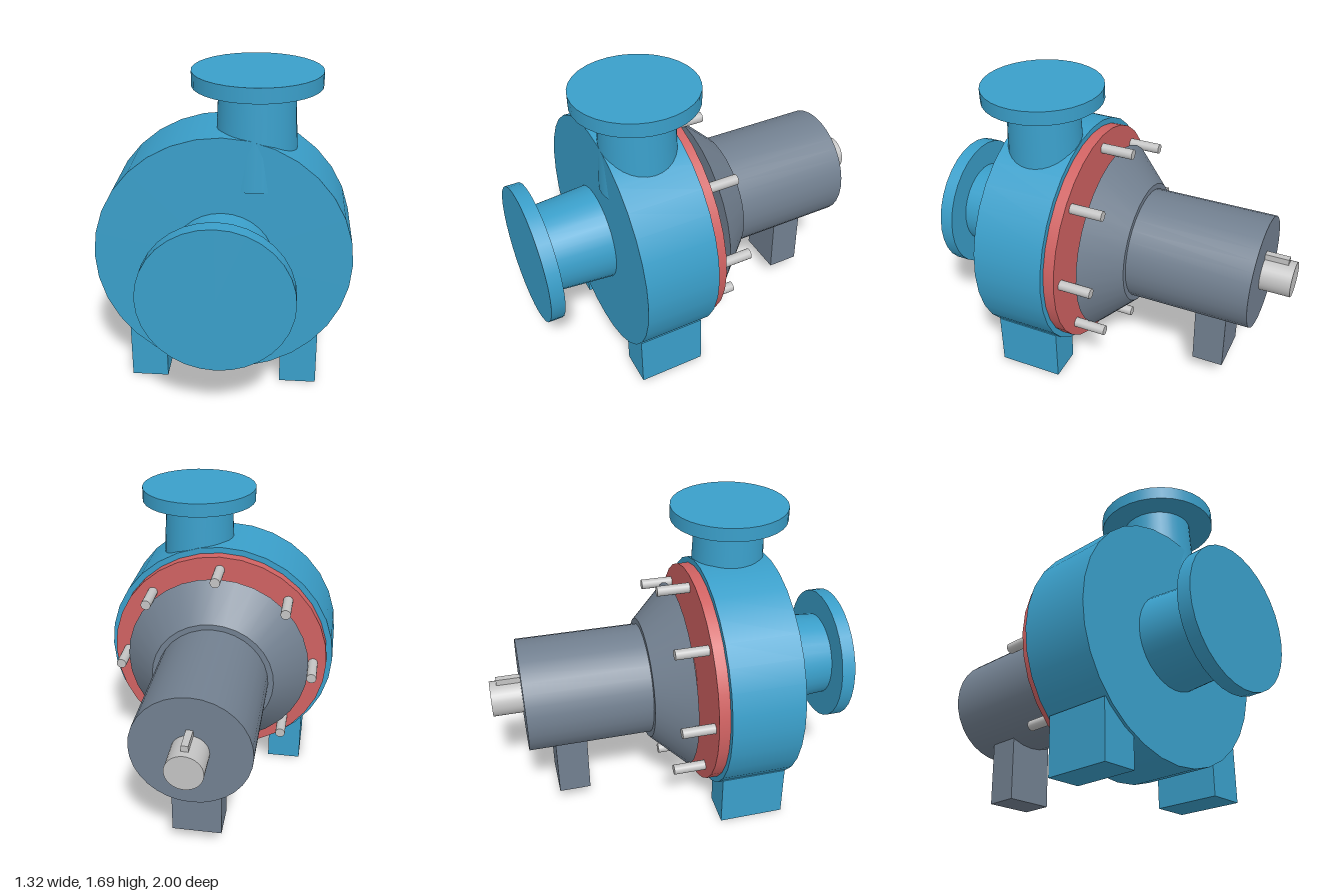
import * as THREE from 'three';

const paint = (name, color) => {
  const m = new THREE.MeshStandardMaterial({ color });
  m.name = name;
  return m;
};

export function createModel() {
  const blue = paint('pump blue', 0x3a9fca);
  const red = paint('cover red', 0xd06262);
  const grey = paint('housing grey', 0x728090);
  const steel = paint('bare steel', 0xc4c4c4);

  const group = new THREE.Group();
  group.name = 'centrifugalPump';
  const AXIS = 0.745; // height of the shaft line

  const add = (name, geometry, material, x, y, z) => {
    const mesh = new THREE.Mesh(geometry, material);
    mesh.name = name;
    mesh.position.set(x, y, z);
    group.add(mesh);
    return mesh;
  };
  // Round part along z, from z0 (radius r0) forward to z1 (radius r1)
  const roundZ = (name, material, z0, z1, r0, r1 = r0, x = 0, y = AXIS, sides = 32) =>
    add(name, new THREE.CylinderGeometry(r1, r0, z1 - z0, sides).rotateX(Math.PI / 2),
      material, x, y, (z0 + z1) / 2);
  // Round part along y, from y0 (radius r0) up to y1 (radius r1)
  const roundY = (name, material, y0, y1, r0, r1, x, z) =>
    add(name, new THREE.CylinderGeometry(r1, r0, y1 - y0, 32), material, x, (y0 + y1) / 2, z);
  // Box given by its limits on each axis
  const box = (name, material, x0, x1, y0, y1, z0, z1) =>
    add(name, new THREE.BoxGeometry(x1 - x0, y1 - y0, z1 - z0), material,
      (x0 + x1) / 2, (y0 + y1) / 2, (z0 + z1) / 2);

  // Casing with its suction inlet
  roundZ('casing', blue, 0.187, 0.59, 0.66);
  roundZ('inletNozzle', blue, 0.58, 0.93, 0.264, 0.237);
  roundZ('inletFlange', blue, 0.924, 1.0, 0.38);

  // Discharge outlet, offset to one side
  roundY('outletNozzle', blue, 1.125, 1.62, 0.212, 0.19, 0.157, 0.39);
  roundY('outletFlange', blue, 1.615, 1.69, 0.323, 0.323, 0.157, 0.39);

  // Casing feet
  for (const s of [-1, 1]) {
    const x = s * 0.4025;
    box(s > 0 ? 'leftFoot' : 'rightFoot', blue, x - 0.0975, x + 0.0975, 0, 0.31, 0.205, 0.574);
  }

  // Back cover and its hub
  roundZ('backCover', red, 0.126, 0.187, 0.627);
  roundZ('coverHub', red, 0.03, 0.13, 0.21);

  // Ring of cover studs
  for (let i = 0; i < 8; i++) {
    const a = (i * Math.PI) / 4;
    roundZ('coverStud', steel, -0.055, 0.14, 0.028, 0.028,
      0.55 * Math.cos(a), AXIS + 0.55 * Math.sin(a), 16);
  }

  // Bearing housing with flared adapter and support leg
  roundZ('adapter', grey, -0.147, 0.046, 0.345, 0.528);
  roundZ('bearingHousing', grey, -0.832, -0.14, 0.314);
  box('supportLeg', grey, -0.135, 0.135, 0.105, 0.465, -0.682, -0.502);

  // Drive shaft and key
  roundZ('shaft', steel, -1.0, -0.82, 0.098);
  box('shaftKey', steel, -0.018, 0.018, 0.81, 0.875, -0.962, -0.825);

  return group;
}
